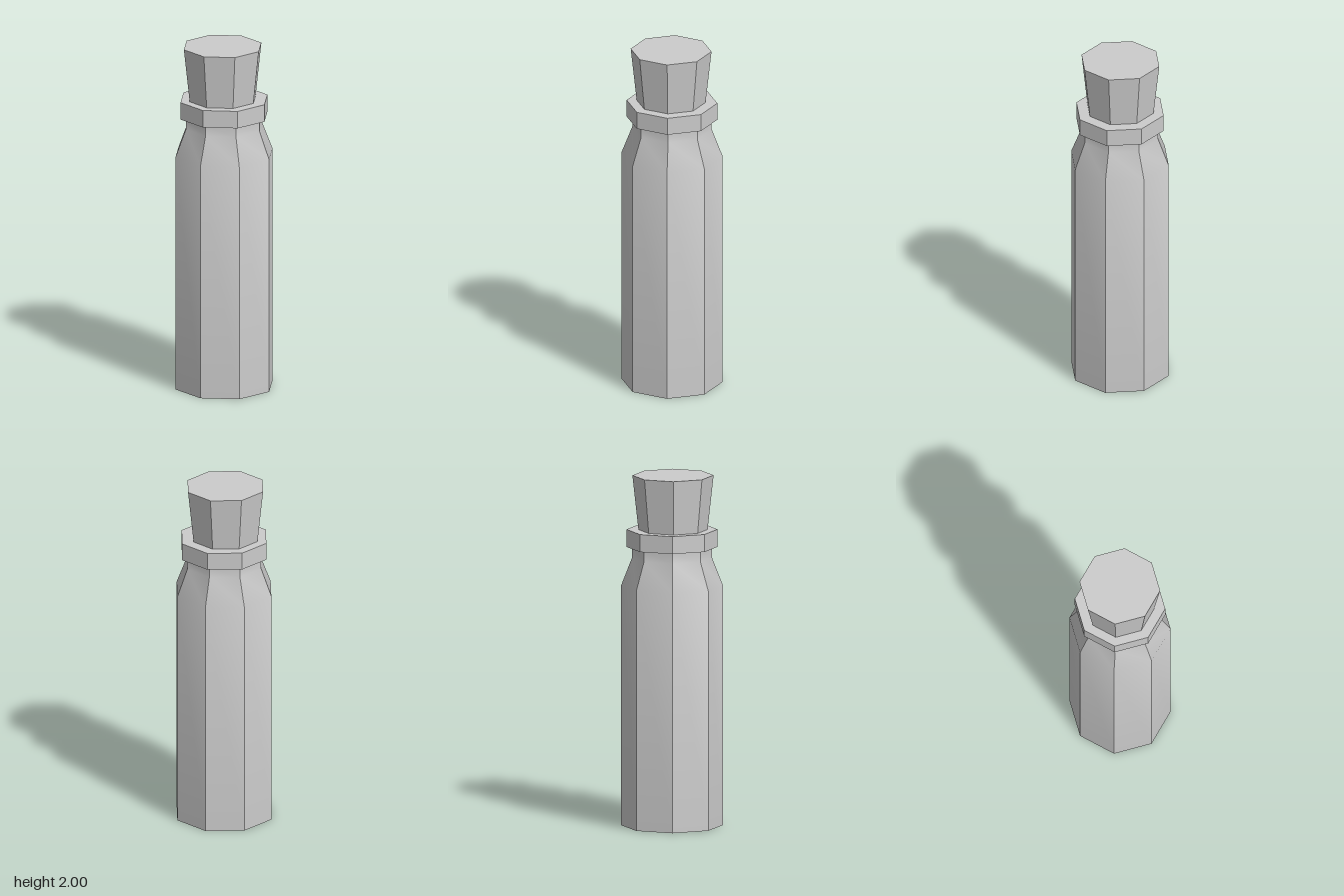
import * as THREE from 'three';
import { toCreasedNormals } from 'three/addons/utils/BufferGeometryUtils.js';

const SIDES = 8;

// Octagonal turned part from [radius, height] pairs, listed bottom to top
function turned(name, profile, material) {
  const points = profile.map(([r, y]) => new THREE.Vector2(r, y));
  const geometry = toCreasedNormals(new THREE.LatheGeometry(points, SIDES), 0.6);
  const mesh = new THREE.Mesh(geometry, material);
  mesh.name = name;
  return mesh;
}

export function createModel() {
  const group = new THREE.Group();
  group.name = 'bottle';
  const material = new THREE.MeshStandardMaterial({ color: 0xcccccc });

  // Straight body, sloped shoulder, short neck and wide lip
  group.add(turned('bottleBody', [
    [0, 0], [0.287, 0],
    [0.287, 1.37],
    [0.225, 1.53], [0.225, 1.59],
    [0.257, 1.59], [0.257, 1.69],
    [0, 1.69],
  ], material));

  // Tapered stopper, set slightly off centre
  const stopper = turned('stopper', [
    [0, 1.68], [0.194, 1.68], [0.229, 2], [0, 2],
  ], material);
  stopper.position.x = -0.008;
  group.add(stopper);

  return group;
}
